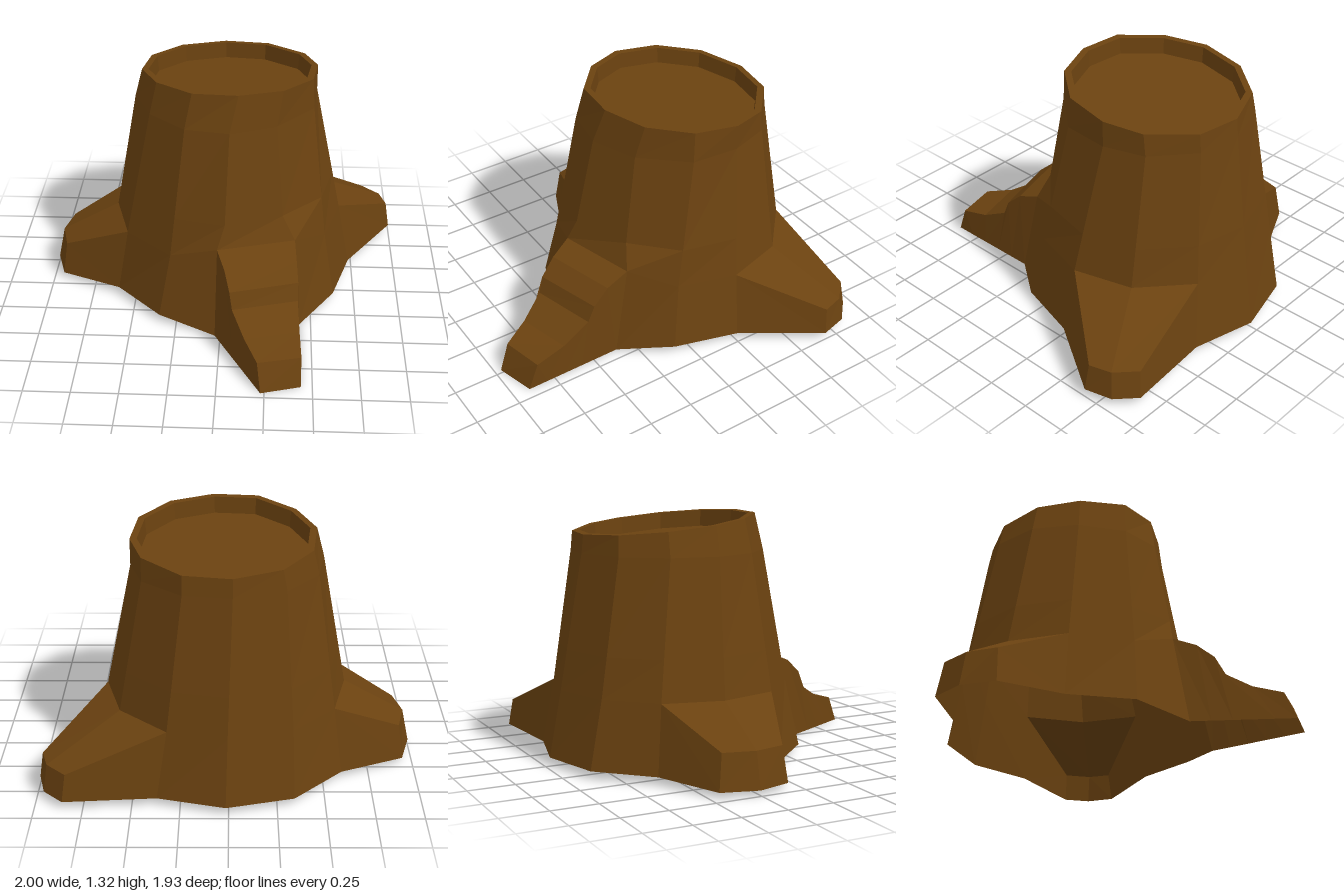
import * as THREE from 'three';

// Twelve columns run round the trunk: back, +x side, front, -x side. Points are [x, z].
const TOP = [[-.02, -.775], [.23, -.74], [.44, -.556], [.51, -.35], [.48, -.1], [.32, .1],
  [.085, .19], [-.16, .17], [-.36, 0], [-.46, -.22], [-.43, -.476], [-.27, -.68]];
const SHOULDER = [[-.02, -.785], [.23, -.75], [.44, -.57], [.51, -.35], [.49, -.09], [.29, .14],
  [.04, .24], [-.2, .2], [-.4, .02], [-.5, -.22], [-.46, -.48], [-.29, -.69]];
const FLARE = [[.005, -.905], [.315, -.83], [.57, -.6], [.66, -.28], [.57, .04], [.4, .26],
  [-.02, .38], [-.28, .3], [-.54, .065], [-.63, -.257], [-.555, -.58], [-.33, -.81]];
const BASE = [[.015, -.97], [.37, -.88], [.62, -.64], [.73, -.257], [.63, .096], [.435, .353],
  [-.03, .476], [-.345, .353], [-.6, .09], [-.66, -.257], [-.6, -.62], [-.34, -.88]];

const isFrontRoot = (i) => i === 5 || i === 6;
const slant = (z) => 1.309 + 0.103 * z;
const lerp = (a, b, t) => a.map((v, k) => v + (b[k] - v) * t);

// Joins rows of [x, y, z] points with flat-shaded faces
function loft(rows, material, name, closed = false) {
  const pos = [];
  for (let r = 0; r < rows.length - 1; r++) {
    const a = rows[r], b = rows[r + 1], n = a.length;
    for (let i = 0; i < (closed ? n : n - 1); i++) {
      const j = (i + 1) % n;
      pos.push(...a[i], ...a[j], ...b[j], ...a[i], ...b[j], ...b[i]);
    }
  }
  const geometry = new THREE.BufferGeometry();
  geometry.setAttribute('position', new THREE.Float32BufferAttribute(pos, 3));
  geometry.computeVertexNormals();
  const mesh = new THREE.Mesh(geometry, material);
  mesh.name = name;
  return mesh;
}

export function createModel() {
  const group = new THREE.Group();
  group.name = 'treeStump';
  const bark = new THREE.MeshStandardMaterial({ color: 0x6b4210, side: THREE.DoubleSide });
  bark.name = 'barkBrown';

  // Trunk rings
  const rim = TOP.map(([x, z]) => [x, slant(z), z]);
  const shoulder = SHOULDER.map(([x, z]) => [x, 1.13, z]);
  const flare = FLARE.map(([x, z], i) => [x, isFrontRoot(i) ? 0.5 : 0.41, z]);
  const waist = shoulder.map((p, i) => lerp(p, flare[i], 0.7));
  waist[5] = [.33, .63, .22];
  waist[6] = [.02, .63, .34];
  const base = BASE.map(([x, z], i) => [x, isFrontRoot(i) ? 0.005 : 0.048, z]);
  group.add(loft([rim, shoulder, waist, flare], bark, 'trunk', true));

  // Raised rim and sunken cut face
  const inset = (s, drop) => TOP.map(([x, z]) => {
    const ix = 0.02 + (x - 0.02) * s, iz = -0.285 + (z + 0.285) * s;
    return [ix, slant(iz) - drop, iz];
  });
  const lip = inset(0.925, 0), floorEdge = inset(0.91, 0.09), centre = inset(0, 0.09);
  group.add(loft([floorEdge, lip, rim], bark, 'rim', true));
  group.add(loft([centre, floorEdge], bark, 'cutFace', true));

  // Flared skirt between the roots
  for (const cols of [[3, 4, 5], [6, 7, 8], [10, 11, 0, 1]]) {
    group.add(loft([cols.map((i) => flare[i]), cols.map((i) => base[i])], bark, 'skirt'));
  }

  // Side roots: the tip has three points above and three below
  function sideRoot(cols, tipTop, tipBase, name) {
    const [a, b, c] = cols;
    const start = [base[a], flare[a], flare[b], flare[c], base[c]];
    const end = [tipBase[0], ...tipTop, tipBase[2]];
    const root = new THREE.Group();
    root.name = name;
    root.add(loft([start, end], bark, name + 'Body'));
    root.add(loft([tipTop, tipBase], bark, name + 'Tip'));
    group.add(root);
  }
  sideRoot([1, 2, 3],
    [[.835, .2, -.9], [.94, .2, -.8], [.975, .2, -.68]],
    [[.855, .05, -.92], [.96, .05, -.82], [.998, .05, -.67]], 'leftBackRoot');
  sideRoot([8, 9, 10],
    [[-.92, .225, -.09], [-.96, .225, -.257], [-.92, .225, -.43]],
    [[-.945, .035, -.07], [-1, .035, -.257], [-.945, .035, -.455]], 'rightRoot');

  // Stepped front root: height, then the two top corners
  const steps = [
    [.5, [.4, .26], [-.02, .38]],
    [.45, [.41, .39], [.025, .5]],
    [.37, [.42, .48], [.055, .59]],
    [.28, [.42, .52], [.07, .62]],
    [.195, [.43, .68], [.14, .76]],
    [.153, [.44, .85], [.21, .905]],
  ];
  const footA = [.44, .005, .905], footB = [.23, .005, .965];
  const sections = steps.map(([y, p, q], k) => {
    const t = k / (steps.length - 1);
    return [lerp(base[5], footA, t), [p[0], y, p[1]], [q[0], y, q[1]], lerp(base[6], footB, t)];
  });
  const last = sections[sections.length - 1];
  group.add(loft(sections, bark, 'frontRoot'));
  group.add(loft([[last[1], last[2]], [footA, footB]], bark, 'frontRootTip'));

  return group;
}
